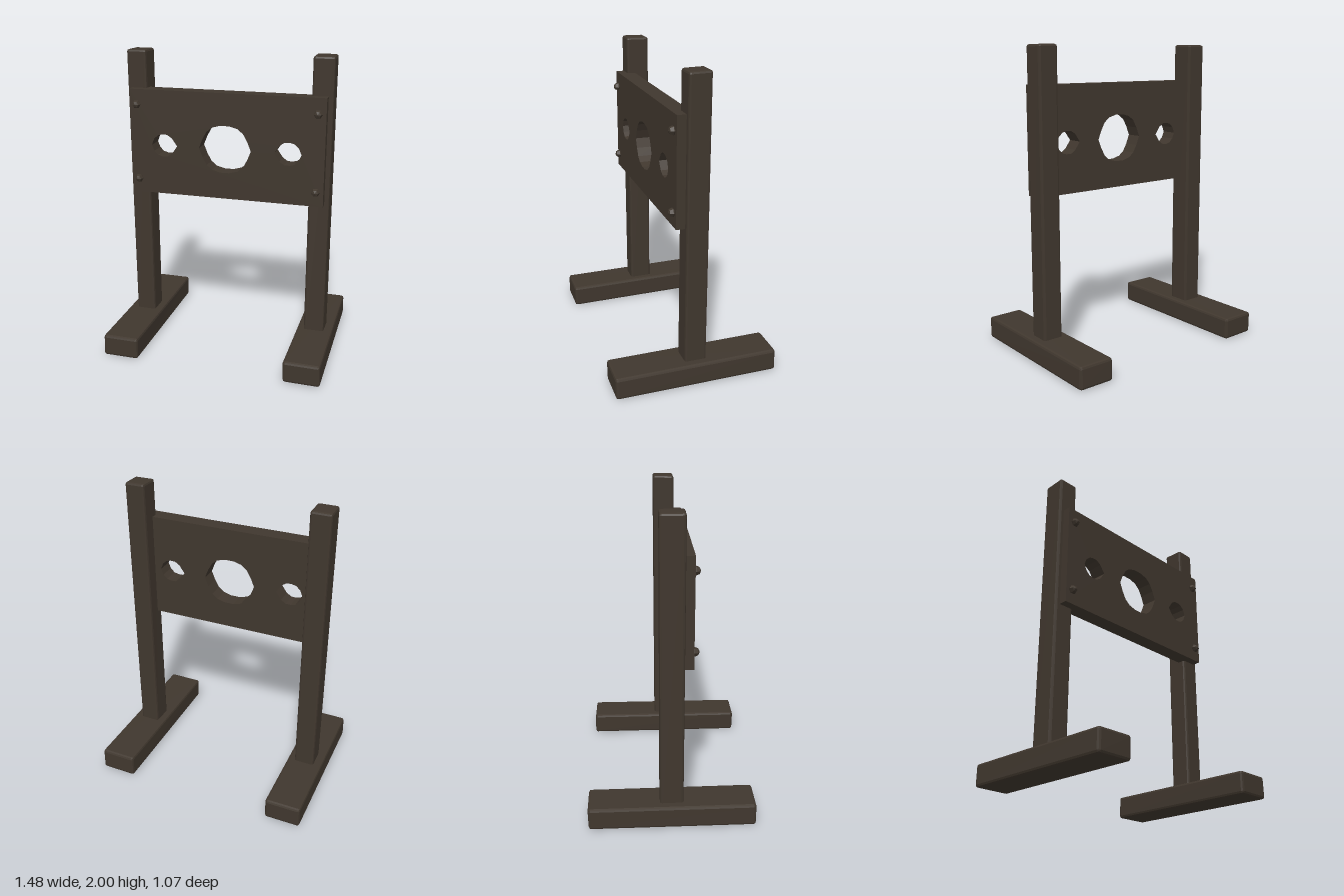
import * as THREE from 'three';
import { RoundedBoxGeometry } from 'three/addons/geometries/RoundedBoxGeometry.js';

// Hand-hewn beam: chamfered box whose corners are nudged slightly
function beam(w, h, d, chamfer, seed, wobble) {
  const g = new RoundedBoxGeometry(w, h, d, 1, chamfer);
  const p = g.attributes.position;
  for (let i = 0; i < p.count; i++) {
    const x = p.getX(i), y = p.getY(i), z = p.getZ(i);
    const corner = (x > 0 ? 1 : 0) + (y > 0 ? 2 : 0) + (z > 0 ? 4 : 0);
    const n = (k) => Math.sin(corner * 12.9 + k * 5.3 + seed * 7.7) * wobble;
    p.setXYZ(i, x + n(1), y + n(2) * 0.5, z + n(3));
  }
  g.computeVertexNormals();
  return g;
}

// Hole outline, mirrored top to bottom from its upper half
function hole(cx, cy, upper, flip) {
  const lower = upper.slice(1, -1).reverse().map(([x, y]) => [x, -y]);
  return new THREE.Path([...upper, ...lower].map(([x, y]) => new THREE.Vector2(cx + x * flip, cy + y)));
}

export function createModel() {
  const group = new THREE.Group();
  const wood = new THREE.MeshStandardMaterial({ color: 0x40372e, flatShading: true });
  wood.name = 'dark wood';
  const add = (name, geometry, x, y, z) => {
    const mesh = new THREE.Mesh(geometry, wood);
    mesh.name = name;
    mesh.position.set(x, y, z);
    group.add(mesh);
    return mesh;
  };

  // Board with a neck hole and two wrist holes
  const w = 0.648, y0 = 1.06, y1 = 1.755, cy = 1.39;
  const board = new THREE.Shape([[-w, y0], [w, y0], [w, y1], [-w, y1]].map(([x, y]) => new THREE.Vector2(x, y)));
  const neck = [[-0.174, 0], [-0.15, 0.06], [-0.122, 0.11], [-0.085, 0.14], [-0.03, 0.155],
    [0.03, 0.155], [0.085, 0.14], [0.122, 0.11], [0.15, 0.06], [0.174, 0]];
  const wrist = [[-0.088, 0], [-0.072, 0.04], [-0.045, 0.066], [-0.015, 0.074],
    [0.02, 0.073], [0.052, 0.052], [0.088, 0]];
  board.holes.push(hole(0, cy, neck, 1), hole(-0.413, cy, wrist, 1), hole(0.413, cy, wrist, -1));
  add('board', new THREE.ExtrudeGeometry(board, { depth: 0.108, bevelEnabled: false }), 0, 0, 0.02);

  for (const side of [-1, 1]) {
    const label = side > 0 ? 'left' : 'right';
    // Post and foot beam
    add(label + 'Post', beam(0.135, 1.9, 0.147, 0.014, side + 2, 0.004), side * 0.615, 1.049, -0.002);
    add(label + 'Foot', beam(0.24, 0.146, 1.068, 0.016, side + 5, 0.004), side * 0.615, 0.08, 0);
    // Six-sided domed bolt heads
    for (const y of [1.155, 1.655]) {
      const bolt = add(label + 'Bolt', new THREE.SphereGeometry(0.029, 6, 4), side * 0.598, y, 0.134);
      bolt.rotation.x = Math.PI / 2;
    }
  }
  return group;
}
